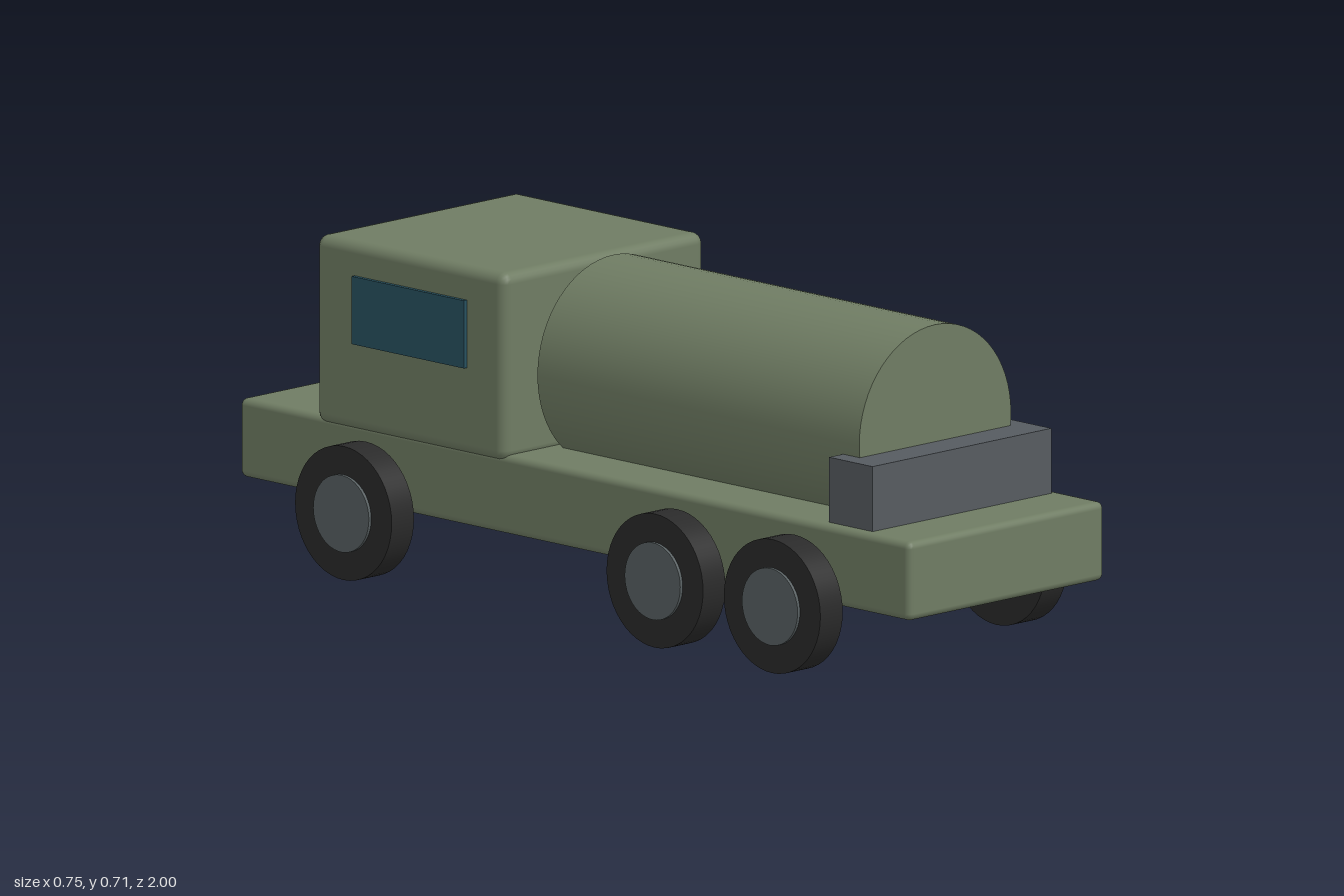
import * as THREE from 'three';
import { RoundedBoxGeometry } from 'three/addons/geometries/RoundedBoxGeometry.js';

export function createModel() {
  const truck = new THREE.Group();
  truck.name = 'tankerTruck';

  const material = (name, color) => {
    const m = new THREE.MeshStandardMaterial({ color });
    m.name = name;
    return m;
  };
  const green = material('olive green paint', 0x6f7c63);
  const steel = material('dark grey steel', 0x565b60);
  const rubber = material('black rubber', 0x2a2a2a);
  const hubGrey = material('hub grey', 0x586062);
  const glass = material('blue glass', 0x285260);

  const add = (name, geometry, mat, x, y, z, parent = truck) => {
    const mesh = new THREE.Mesh(geometry, mat);
    mesh.name = name;
    mesh.position.set(x, y, z);
    parent.add(mesh);
    return mesh;
  };

  // Body: flat chassis and cab with softened edges
  add('chassis', new RoundedBoxGeometry(0.58, 0.17, 2, 2, 0.015), green, 0, 0.235, 0);
  add('cab', new RoundedBoxGeometry(0.598, 0.406, 0.565, 2, 0.024), green, 0, 0.508, -0.4825);

  // Tank lying along the chassis, sunk slightly into it
  const tank = new THREE.CylinderGeometry(0.225, 0.225, 0.96, 64).rotateX(Math.PI / 2);
  add('tank', tank, green, 0, 0.487, 0.305);

  // Equipment box across the tail
  add('rearBox', new THREE.BoxGeometry(0.53, 0.15, 0.13), steel, 0, 0.385, 0.8);

  // Windscreen and side windows
  add('windscreen', new THREE.BoxGeometry(0.5, 0.17, 0.009), glass, 0, 0.565, -0.7695);
  for (const side of [-1, 1]) {
    add('sideWindow', new THREE.BoxGeometry(0.009, 0.146, 0.335), glass, side * 0.3045, 0.567, -0.4775);
  }

  // Three axles, with a tyre and a hub at each end
  const tyre = new THREE.CylinderGeometry(0.144, 0.144, 0.066, 48).rotateZ(Math.PI / 2);
  const hub = new THREE.CylinderGeometry(0.083, 0.083, 0.06, 48).rotateZ(Math.PI / 2);
  for (const z of [-0.612, 0.317, 0.667]) {
    for (const side of [-1, 1]) {
      const wheel = new THREE.Group();
      wheel.name = 'wheel';
      wheel.position.set(side * 0.333, 0.144, z);
      add('tyre', tyre, rubber, 0, 0, 0, wheel);
      add('hub', hub, hubGrey, side * 0.01, 0, 0, wheel);
      truck.add(wheel);
    }
  }

  return truck;
}
